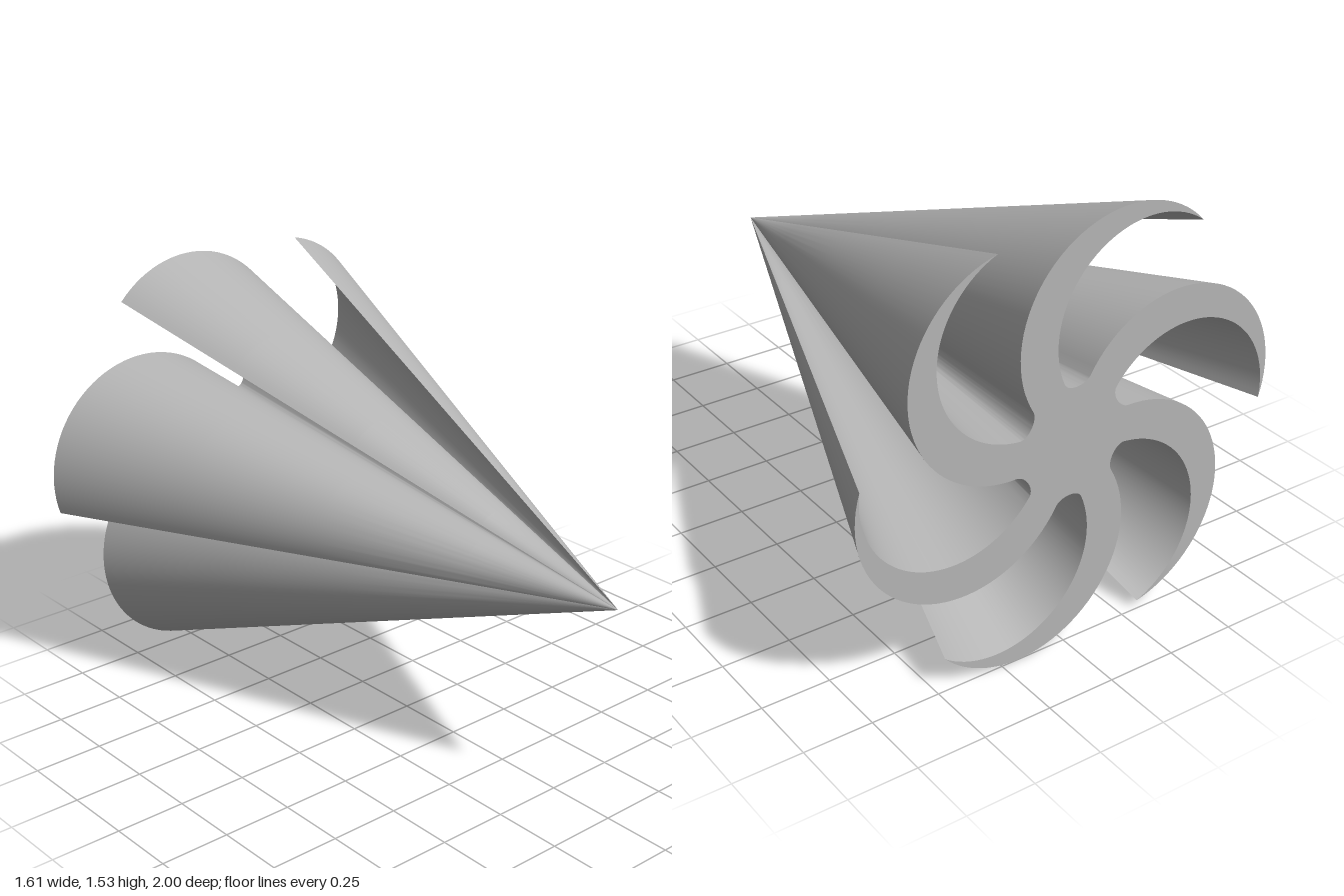
import * as THREE from 'three';
import { toCreasedNormals } from 'three/addons/utils/BufferGeometryUtils.js';

const BLADES = 6;
const TIP = 0.795; // radius of the blade tips
const TIP_ANGLE = THREE.MathUtils.degToRad(6.8);
const HEIGHT = 0.766; // height of the axis above the ground
const LENGTH = 2;

// Arcs of one blade whose tip lies on the +x axis
const inner = { x: 0.45, y: 0, r: 0.345, tip: 0, root: THREE.MathUtils.degToRad(-151.4) };
const outer = { x: 0.4, y: -0.07, r: Math.hypot(TIP - 0.4, 0.07),
  tip: Math.atan2(0.07, TIP - 0.4), root: THREE.MathUtils.degToRad(-157.3) };

const arcCentre = (arc, turn) =>
  new THREE.Vector2(arc.x, arc.y).rotateAround(new THREE.Vector2(), turn);

const arcPoint = (arc, turn, angle) => arcCentre(arc, turn)
  .add(new THREE.Vector2(Math.cos(angle + turn), Math.sin(angle + turn)).multiplyScalar(arc.r));

// Clockwise tangent of an arc
const tangent = (turn, angle) =>
  new THREE.Vector2(Math.sin(angle + turn), -Math.cos(angle + turn));

// Pinwheel outline: inner arc to the notch, rounded notch, next blade's outer arc
function pinwheelShape() {
  const shape = new THREE.Shape();
  for (let i = 0; i < BLADES; i++) {
    const turn = TIP_ANGLE + (i * Math.PI * 2) / BLADES;
    const next = turn + (Math.PI * 2) / BLADES;
    const a = arcCentre(inner, turn);
    shape.absarc(a.x, a.y, inner.r, inner.tip + turn, inner.root + turn, true);

    const start = arcPoint(inner, turn, inner.root);
    const end = arcPoint(outer, next, outer.root);
    const c1 = start.addScaledVector(tangent(turn, inner.root), 0.035);
    const c2 = end.clone().addScaledVector(tangent(next, outer.root), 0.035);
    shape.bezierCurveTo(c1.x, c1.y, c2.x, c2.y, end.x, end.y);

    const b = arcCentre(outer, next);
    shape.absarc(b.x, b.y, outer.r, outer.root + next, outer.tip + next, false);
  }
  return shape;
}

export function createModel() {
  const grey = new THREE.MeshStandardMaterial({ color: 0xb4b4b4 });
  grey.name = 'grey';

  // Extrude the outline and taper it to a point at the front
  const geometry = new THREE.ExtrudeGeometry(pinwheelShape(), {
    depth: LENGTH, steps: 4, curveSegments: 20, bevelEnabled: false,
  });
  const pos = geometry.attributes.position;
  for (let i = 0; i < pos.count; i++) {
    const s = 1 - pos.getZ(i) / LENGTH;
    pos.setXYZ(i, pos.getX(i) * s, pos.getY(i) * s, pos.getZ(i) - LENGTH / 2);
  }

  const cone = new THREE.Mesh(toCreasedNormals(geometry, 0.6), grey);
  cone.name = 'flutedCone';
  cone.position.y = HEIGHT;

  const group = new THREE.Group();
  group.name = 'pinwheelCone';
  group.add(cone);
  return group;
}
